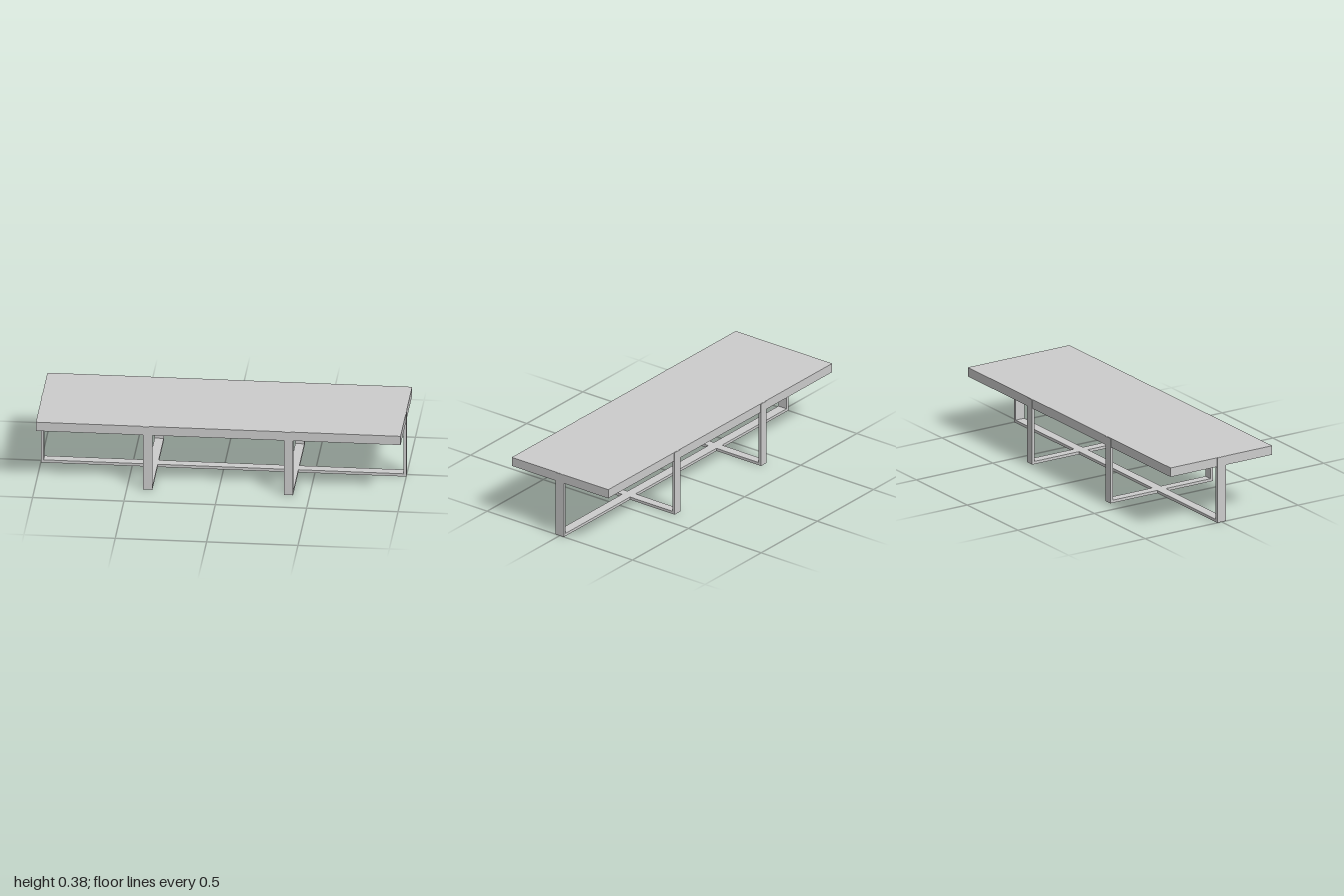
import * as THREE from 'three';

const HEIGHT = 0.375, BAR = 0.016;

// U-shaped flat-bar frame in the XY plane, centred on its own width
function uFrame(name, halfSpan, width, material) {
  const h = HEIGHT - 0.001, inner = halfSpan - BAR;
  const shape = new THREE.Shape([
    [-halfSpan, 0], [halfSpan, 0], [halfSpan, h], [inner, h],
    [inner, BAR], [-inner, BAR], [-inner, h], [-halfSpan, h],
  ].map(([x, y]) => new THREE.Vector2(x, y)));
  const geometry = new THREE.ExtrudeGeometry(shape, { depth: width, bevelEnabled: false });
  geometry.translate(0, 0, -width / 2);
  const mesh = new THREE.Mesh(geometry, material);
  mesh.name = name;
  return mesh;
}

export function createModel() {
  const group = new THREE.Group();
  group.name = 'table';
  const material = new THREE.MeshStandardMaterial({ color: 0xcccccc });

  // Table slab
  const thickness = 0.052;
  const top = new THREE.Mesh(new THREE.BoxGeometry(1.996, thickness, 0.664), material);
  top.name = 'tableTop';
  top.position.y = HEIGHT - thickness / 2;
  group.add(top);

  // Lengthwise frame, its legs wrapping the slab ends
  group.add(uFrame('longFrame', 1, 0.056, material));

  // Two crosswise frames, their legs wrapping the slab sides
  for (const side of [-1, 1]) {
    const frame = uFrame(side > 0 ? 'leftCrossFrame' : 'rightCrossFrame', 0.335, 0.05, material);
    frame.rotation.y = Math.PI / 2;
    frame.position.x = side * 0.385;
    group.add(frame);
  }
  return group;
}
